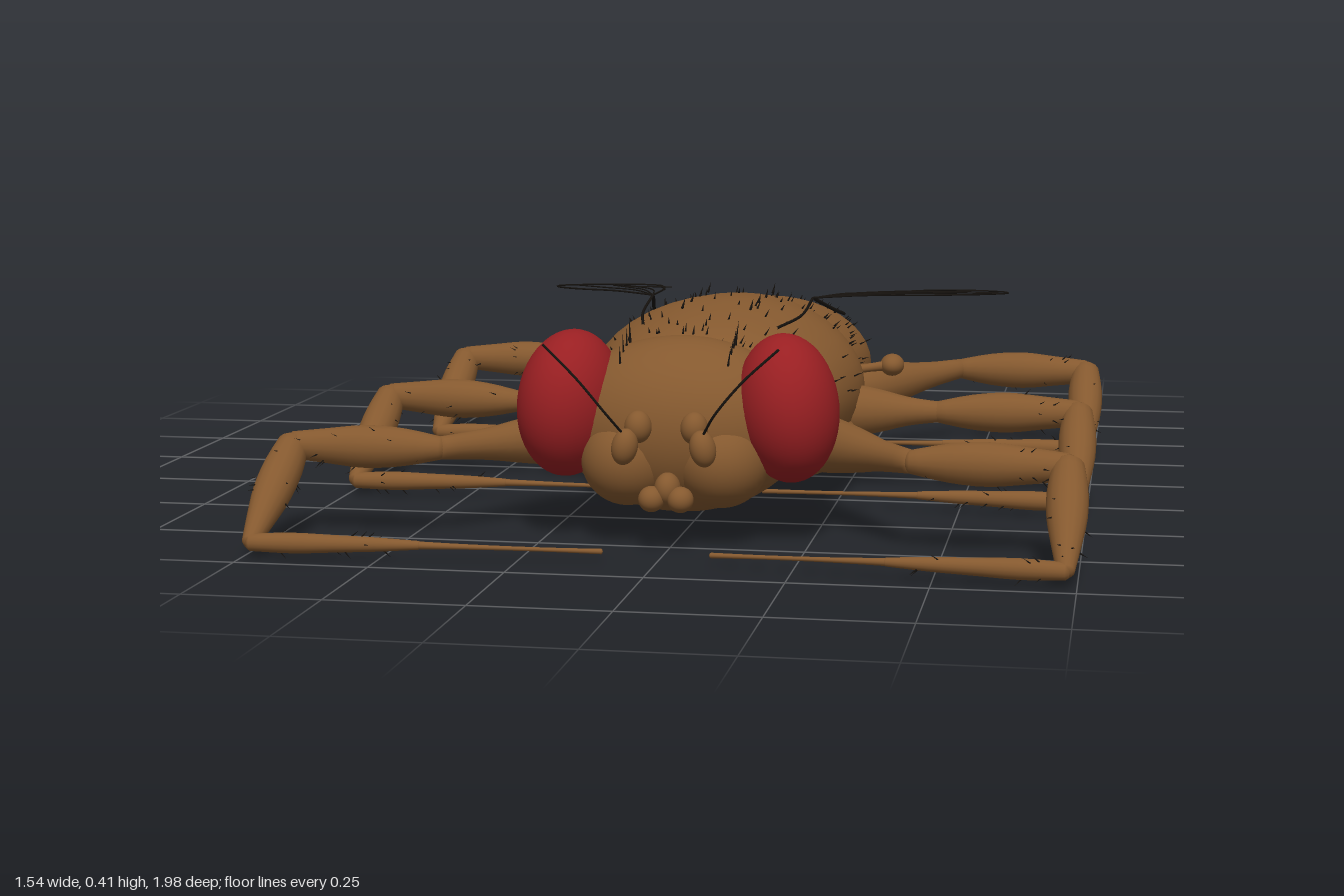
import * as THREE from 'three';
import { mergeGeometries } from 'three/addons/utils/BufferGeometryUtils.js';

const V = (x, y, z) => new THREE.Vector3(x, y, z);
const mat = (name, color) => Object.assign(new THREE.MeshStandardMaterial({ color }), { name });

// Small seeded random generator for the scattered bristles
let seed = 7;
const rnd = () => (seed = (seed * 16807) % 2147483647) / 2147483647;

// Cross-sections as [z, centre y, half width, half height], z increasing
const THORAX = [[-0.25, 0.2, 0.01, 0.01], [-0.235, 0.205, 0.1, 0.09], [-0.2, 0.21, 0.165, 0.14], [-0.1, 0.217, 0.235, 0.17],
  [0, 0.217, 0.27, 0.182], [0.13, 0.217, 0.285, 0.187], [0.28, 0.217, 0.262, 0.168], [0.38, 0.215, 0.218, 0.14],
  [0.44, 0.21, 0.165, 0.1], [0.47, 0.205, 0.1, 0.06], [0.48, 0.2, 0.01, 0.01]];
const ABDOMEN = [[-0.68, 0.197, 0.128, 0.087], [-0.62, 0.197, 0.172, 0.112], [-0.55, 0.197, 0.208, 0.131], [-0.47, 0.198, 0.232, 0.144],
  [-0.38, 0.199, 0.245, 0.151], [-0.28, 0.203, 0.238, 0.153], [-0.2, 0.206, 0.215, 0.15], [-0.12, 0.207, 0.17, 0.13], [-0.06, 0.207, 0.01, 0.01]];
const TIP = [[-0.79, 0.195, 0.003, 0.003], [-0.77, 0.195, 0.038, 0.03], [-0.74, 0.196, 0.078, 0.056], [-0.71, 0.197, 0.106, 0.074], [-0.68, 0.197, 0.128, 0.087]];

// Smooth ring values at t = 0..1 along a list of cross-sections
function ringAt(rings, t) {
  const f = t * (rings.length - 1), i = Math.min(Math.floor(f), rings.length - 2), u = f - i;
  const r = k => rings[Math.max(0, Math.min(rings.length - 1, k))];
  return rings[0].map((_, k) => {
    const [a, b, c, d] = [r(i - 1)[k], r(i)[k], r(i + 1)[k], r(i + 2)[k]];
    const v = b + 0.5 * u * (c - a + u * (2 * a - 5 * b + 4 * c - d + u * (3 * (b - c) + d - a)));
    return k > 1 ? Math.max(v, 0.002) : v;
  });
}
function surfacePoint(rings, t, a) {
  const [z, y, w, h] = ringAt(rings, t);
  return V(w * Math.cos(a), y + h * Math.sin(a), z);
}
function loft(rings, sides = 40, steps = 40) {
  const pos = [], idx = [];
  for (let i = 0; i <= steps; i++) for (let j = 0; j < sides; j++)
    pos.push(...surfacePoint(rings, i / steps, (j / sides) * Math.PI * 2).toArray());
  for (let i = 0; i < steps; i++) for (let j = 0; j < sides; j++) {
    const a = i * sides + j, b = i * sides + (j + 1) % sides;
    idx.push(a, b, b + sides, a, b + sides, a + sides);
  }
  const g = new THREE.BufferGeometry();
  g.setAttribute('position', new THREE.Float32BufferAttribute(pos, 3));
  g.setIndex(idx);
  g.computeVertexNormals();
  return g;
}

// Round tapering limb from a to b following a list of radii
function limb(a, b, radii) {
  const d = b.clone().sub(a), L = d.length(), n = radii.length - 1;
  const body = new THREE.SplineCurve(radii.map((r, i) => new THREE.Vector2(r, (i / n) * L))).getPoints(12);
  const pts = [new THREE.Vector2(0, -radii[0] * 0.6), new THREE.Vector2(radii[0] * 0.7, -radii[0] * 0.4), ...body,
    new THREE.Vector2(radii[n] * 0.7, L + radii[n] * 0.4), new THREE.Vector2(0, L + radii[n] * 0.6)];
  return new THREE.LatheGeometry(pts, 16)
    .applyQuaternion(new THREE.Quaternion().setFromUnitVectors(V(0, 1, 0), d.normalize())).translate(a.x, a.y, a.z);
}
function bristle(p, dir, len, r = 0.0022) {
  return new THREE.ConeGeometry(r, len, 4).translate(0, len / 2, 0)
    .applyQuaternion(new THREE.Quaternion().setFromUnitVectors(V(0, 1, 0), dir.clone().normalize())).translate(p.x, p.y, p.z);
}
const thread = (pts, r) => new THREE.TubeGeometry(new THREE.CatmullRomCurve3(pts), 40, r, 5);

export function createModel() {
  const model = new THREE.Group();
  const brown = mat('brown body', 0x85592f), red = mat('red eye', 0x991f22);
  const dark = mat('dark tail', 0x403023), black = mat('black bristle', 0x17130f);
  const add = (name, geo, m) => {
    const mesh = new THREE.Mesh(geo, m);
    mesh.name = name;
    model.add(mesh);
    return mesh;
  };
  const ball = (name, m, c, r, rot = [0, 0, 0]) => {
    const mesh = add(name, new THREE.SphereGeometry(1, 36, 24), m);
    mesh.position.set(...c);
    mesh.scale.set(...r);
    mesh.rotation.set(...rot);
  };

  // Body
  add('thorax', loft(THORAX), brown);
  add('abdomen', loft(ABDOMEN), brown);
  add('abdomenTip', loft(TIP, 40, 16), dark);
  ball('scutellum', brown, [0, 0.29, -0.19], [0.15, 0.085, 0.09]);
  ball('neck', brown, [0, 0.21, 0.48], [0.12, 0.1, 0.08]);

  // Head and mouth
  ball('head', brown, [0, 0.222, 0.625], [0.235, 0.166, 0.16]);
  ball('proboscis', brown, [0, 0.125, 0.775], [0.024, 0.03, 0.03]);

  const hairs = [];
  for (const s of [1, -1]) {
    const side = s > 0 ? 'left' : 'right';
    const P = (x, y, z) => V(s * x, y, z);
    ball(side + 'Eye', red, [s * 0.206, 0.263, 0.668], [0.096, 0.139, 0.12], [0, s * 0.12, s * 0.1]);
    ball(side + 'Cheek', brown, [s * 0.088, 0.167, 0.7], [0.088, 0.088, 0.095]);
    ball(side + 'Palp', brown, [s * 0.027, 0.108, 0.79], [0.024, 0.024, 0.026]);
    ball(side + 'AntennaBase', brown, [s * 0.052, 0.24, 0.785], [0.025, 0.03, 0.028]);
    ball(side + 'AntennaTip', brown, [s * 0.072, 0.207, 0.81], [0.024, 0.034, 0.026], [0, 0, s * 0.2]);
    add(side + 'Arista', thread([P(0.075, 0.235, 0.82), P(0.1, 0.275, 0.848), P(0.15, 0.335, 0.852), P(0.215, 0.395, 0.84)], 0.0025), black);
    ball(side + 'Flank', brown, [s * 0.175, 0.135, 0.14], [0.105, 0.068, 0.27], [0.1, 0, 0]);

    // Balancer knob behind the wing
    add(side + 'HaltereStem', limb(P(0.2, 0.215, -0.14), P(0.31, 0.225, -0.2), [0.012, 0.009, 0.012]), brown);
    ball(side + 'Haltere', brown, [s * 0.312, 0.225, -0.2], [0.026, 0.024, 0.034]);

    // Legs: hip, knee, ankle, heel and toe
    const legs = {
      front: [P(0.19, 0.16, 0.4), P(0.44, 0.18, 0.73), 0.74, 0.965, 0.885],
      middle: [P(0.2, 0.175, 0.13), P(0.44, 0.178, 0.14), 0.125, 0.355, 0.275],
      hind: [P(0.17, 0.16, -0.14), P(0.44, 0.18, -0.48), -0.475, -0.25, -0.33],
    };
    for (const [row, [hip, knee, za, zh, zt]] of Object.entries(legs)) {
      const ankle = P(0.725, 0.18, za), heel = P(0.73, 0.04, zh), mid = P(0.42, 0.042, zh - 0.015), toe = P(0.1, 0.028, zt);
      const parts = [
        ['Femur', hip, knee, [0.05, 0.055, 0.045, 0.03, 0.022]],
        ['Tibia', knee, ankle, [0.022, 0.036, 0.041, 0.034, 0.026]],
        ['Shank', ankle, heel, [0.03, 0.037, 0.036, 0.027, 0.016]],
        ['Foot', heel, mid, [0.016, 0.019, 0.016, 0.013, 0.008]],
        ['Toe', mid, toe, [0.007, 0.005, 0.004, 0.004, 0.005]],
      ];
      for (const [part, a, b, radii] of parts) {
        add(`${side}${row[0].toUpperCase()}${row.slice(1)}${part}`, limb(a, b, radii), brown);
        if (part === 'Femur' || part === 'Toe') continue;
        // Fine leg bristles
        const axis = b.clone().sub(a).normalize();
        for (let i = 0; i < 12; i++) {
          const t = 0.08 + 0.84 * rnd(), n = V(rnd() - 0.5, rnd() - 0.5, rnd() - 0.5).cross(axis).normalize();
          const r = radii[Math.round(t * 4)] * 0.9;
          hairs.push(bristle(a.clone().lerp(b, t).addScaledVector(n, r), n.addScaledVector(axis, 0.9), 0.018, 0.0018));
        }
      }
    }

    // Wing outline and veins, sloping down towards the tip
    const W = (x, z) => P(x, 0.398 + 0.095 * Math.min(z, 0) - 0.012 * Math.max(z, 0), z);
    const root = [0.17, 0.05];
    const veins = [
      [root, [0.27, -0.06], [0.38, -0.2], [0.485, -0.42], [0.535, -0.66], [0.5, -0.88], [0.41, -1], [0.345, -0.91], [0.3, -0.7], [0.235, -0.4], root],
      [root, [0.23, -0.25], [0.33, -0.6], [0.46, -0.92]],
      [root, [0.21, -0.25], [0.29, -0.68], [0.37, -0.97]],
      [root, [0.26, -0.2], [0.38, -0.45], [0.51, -0.72]],
      [root, [0.25, -0.25], [0.36, -0.58], [0.44, -0.8]],
      [root, [0.2, -0.2], [0.225, -0.36], [0.27, -0.58]],
      [[0.27, -0.68], [0.31, -0.685], [0.35, -0.67], [0.385, -0.635]],
    ].map((v, i) => thread(v.map(p => W(...p)), i ? 0.0016 : 0.002));
    veins.push(thread([W(...root), P(0.195, 0.36, -0.08), P(0.21, 0.34, -0.16)], 0.004));
    veins.push(thread([W(...root), P(0.165, 0.377, 0.18), P(0.135, 0.368, 0.33)], 0.003));
    add(side + 'WingVeins', mergeGeometries(veins), black);
  }

  // Backswept bristles over thorax, abdomen and brow
  const scatter = (rings, count, t0, t1) => {
    for (let i = 0; i < count; i++) {
      const t = t0 + (t1 - t0) * rnd(), a = Math.PI * (0.02 + 0.96 * rnd());
      const p = surfacePoint(rings, t, a);
      hairs.push(bristle(p, V(Math.cos(a) * 0.6, Math.sin(a) * 0.6, -0.9), 0.016 + 0.012 * rnd()));
    }
  };
  scatter(THORAX, 120, 0.25, 0.8);
  scatter(ABDOMEN, 90, 0.03, 0.7);
  for (const s of [1, -1]) {
    for (let i = 0; i < 4; i++) {
      hairs.push(bristle(V(s * 0.1, 0.37 - i * 0.012, 0.62 + i * 0.03), V(s * 0.1, 1, -0.3), 0.05, 0.0028));
      hairs.push(bristle(V(s * 0.07, 0.395, 0.25 - i * 0.1), V(0, 0.5, -1), 0.04, 0.003));
    }
  }
  add('bristles', mergeGeometries(hairs), black);
  return model;
}
